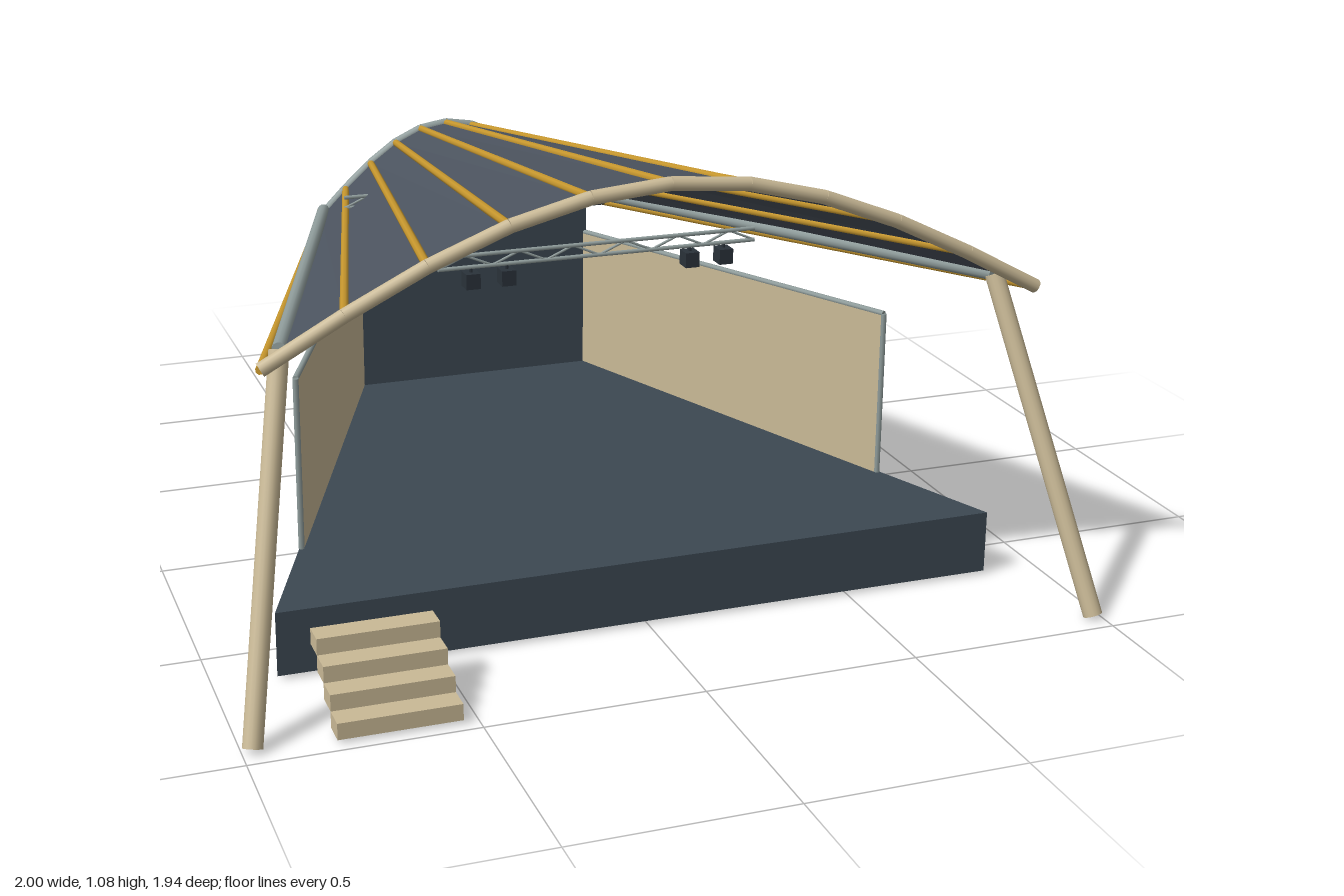
import * as THREE from 'three';

const mat = (color, extra = {}) => {
  const m = new THREE.MeshStandardMaterial(extra);
  m.color.set(color);
  return m;
};
const V = (x, y, z) => new THREE.Vector3(x, y, z);

export function createModel() {
  const model = new THREE.Group();
  const timber = mat(0xc9b996);
  const steel = mat(0x8f9c9b);
  const gold = mat(0xc8982e);
  const dark = mat(0x3c4852);
  const panel = mat(0xc9b996);
  const roofMat = mat(0x4c545f, { side: THREE.DoubleSide, flatShading: true });
  const lampMat = mat(0x2a323a);

  const group = (name) => {
    const g = new THREE.Group();
    g.name = name;
    model.add(g);
    return g;
  };
  const add = (parent, name, geo, material) => {
    const m = new THREE.Mesh(geo, material);
    m.name = name;
    parent.add(m);
    return m;
  };
  // Round bar between two points
  const bar = (parent, name, a, b, r, material, sides = 12) => {
    const m = add(parent, name, new THREE.CylinderGeometry(r, r, a.distanceTo(b), sides), material);
    m.position.copy(a).lerp(b, 0.5);
    m.quaternion.setFromUnitVectors(V(0, 1, 0), b.clone().sub(a).normalize());
    return m;
  };
  const box = (parent, name, w, h, d, x, y, z, material) => {
    const m = add(parent, name, new THREE.BoxGeometry(w, h, d), material);
    m.position.set(x, y, z);
    return m;
  };

  // Trapezoid stage deck
  const plan = new THREE.Shape([[-0.86, -0.65], [0.86, -0.65], [0.325, 0.704], [-0.325, 0.704]]
    .map(([x, y]) => new THREE.Vector2(x, y)));
  const deck = add(model, 'stageDeck',
    new THREE.ExtrudeGeometry(plan, { depth: 0.15, bevelEnabled: false }), dark);
  deck.rotation.x = -Math.PI / 2;
  deck.position.y = 0.01;

  // Back wall
  box(model, 'backWall', 0.65, 0.485, 0.018, 0, 0.4025, -0.706, dark);

  // Side walls along the slanting deck edges, with steel trim
  for (const s of [-1, 1]) {
    const wall = group(s > 0 ? 'leftWall' : 'rightWall');
    const front = V(s * 0.728, 0, 0.33), back = V(s * 0.322, 0, -0.7);
    const len = front.distanceTo(back);
    const outline = new THREE.Shape([[0, 0.16], [len, 0.16], [len, 0.535], [0, 0.57]]
      .map(([x, y]) => new THREE.Vector2(x, y)));
    const geo = new THREE.ExtrudeGeometry(outline, { depth: 0.012, bevelEnabled: false });
    geo.translate(0, 0, -0.006);
    const m = add(wall, 'wallPanel', geo, panel);
    m.position.copy(front);
    m.rotation.y = Math.atan2(front.z - back.z, back.x - front.x);
    const top = front.clone().setY(0.572);
    bar(wall, 'topTrim', top, back.clone().setY(0.537), 0.007, steel, 8);
    bar(wall, 'frontTrim', front.clone().setY(0.16), top, 0.007, steel, 8);
  }

  // Roof: a sine arch that shrinks and drops towards the back
  const N = 10;
  const archPoint = (i, end) => {
    const t = (2 * i) / N - 1, c = Math.cos((t * Math.PI) / 2);
    return end === 0 ? V(0.89 * t, 0.75 + 0.315 * c, 0.75)
      : V(0.365 * t, 0.575 + 0.24 * c, -0.955);
  };
  const verts = [], index = [];
  for (let i = 0; i <= N; i++) {
    verts.push(...archPoint(i, 0).toArray(), ...archPoint(i, 1).toArray());
    if (i < N) {
      const k = 2 * i;
      index.push(k, k + 2, k + 1, k + 2, k + 3, k + 1);
    }
  }
  const skin = new THREE.BufferGeometry();
  skin.setAttribute('position', new THREE.Float32BufferAttribute(verts, 3));
  skin.setIndex(index);
  skin.computeVertexNormals();
  add(model, 'roofSkin', skin, roofMat);

  // Long ribs and the two end arches
  const ribs = group('roofRibs'), frontArch = group('frontArch'), backArch = group('backArch');
  for (let i = 0; i <= N; i++) {
    bar(ribs, 'rib', archPoint(i, 0), archPoint(i, 1), 0.01, gold, 8);
    if (i === N) break;
    bar(frontArch, 'archTube', archPoint(i, 0), archPoint(i + 1, 0), 0.016, timber);
    bar(backArch, 'archTube', archPoint(i, 1), archPoint(i + 1, 1), 0.013, steel);
  }

  // Leaning columns and the side beams joining them
  for (const s of [-1, 1]) {
    const side = group(s > 0 ? 'leftSupports' : 'rightSupports');
    const frontTop = V(s * 0.832, 0.76, 0.665), backTop = V(s * 0.362, 0.6, -0.935);
    bar(side, 'frontColumn', V(s * 0.977, 0.01, 0.95), frontTop, 0.022, timber, 16);
    bar(side, 'backColumn', V(s * 0.377, 0.01, -0.897), backTop, 0.018, timber, 16);
    bar(side, 'sideBeam', frontTop, backTop, 0.016, steel);
  }

  // Lighting trusses with hanging lamps
  for (const [y, z, name] of [[0.8, 0.31, 'frontTruss'], [0.715, -0.575, 'backTruss']]) {
    const truss = group(name), half = 0.388, gap = 0.014, bays = 12;
    for (const d of [-gap, gap]) {
      bar(truss, 'chord', V(-half, y + d, z), V(half, y + d, z), 0.005, steel, 8);
    }
    for (let i = 0; i < bays; i++) {
      const x = -half + (2 * half * i) / bays, d = i % 2 ? gap : -gap;
      bar(truss, 'brace', V(x, y + d, z), V(x + (2 * half) / bays, y - d, z), 0.003, steel, 6);
    }
    for (const x of [-0.31, -0.225, 0.225, 0.31]) {
      bar(truss, 'lampHanger', V(x, y - gap, z), V(x, y - 0.03, z), 0.004, lampMat, 6);
      box(truss, 'lamp', 0.034, 0.036, 0.04, x, y - 0.044, z, lampMat);
    }
  }

  // Open steps up to the deck
  const steps = group('steps');
  for (let i = 0; i < 4; i++) {
    box(steps, 'step', 0.27, 0.0375, 0.057, -0.67, 0.029 + i * 0.0375, 0.944 - i * 0.0565, timber);
  }

  return model;
}
